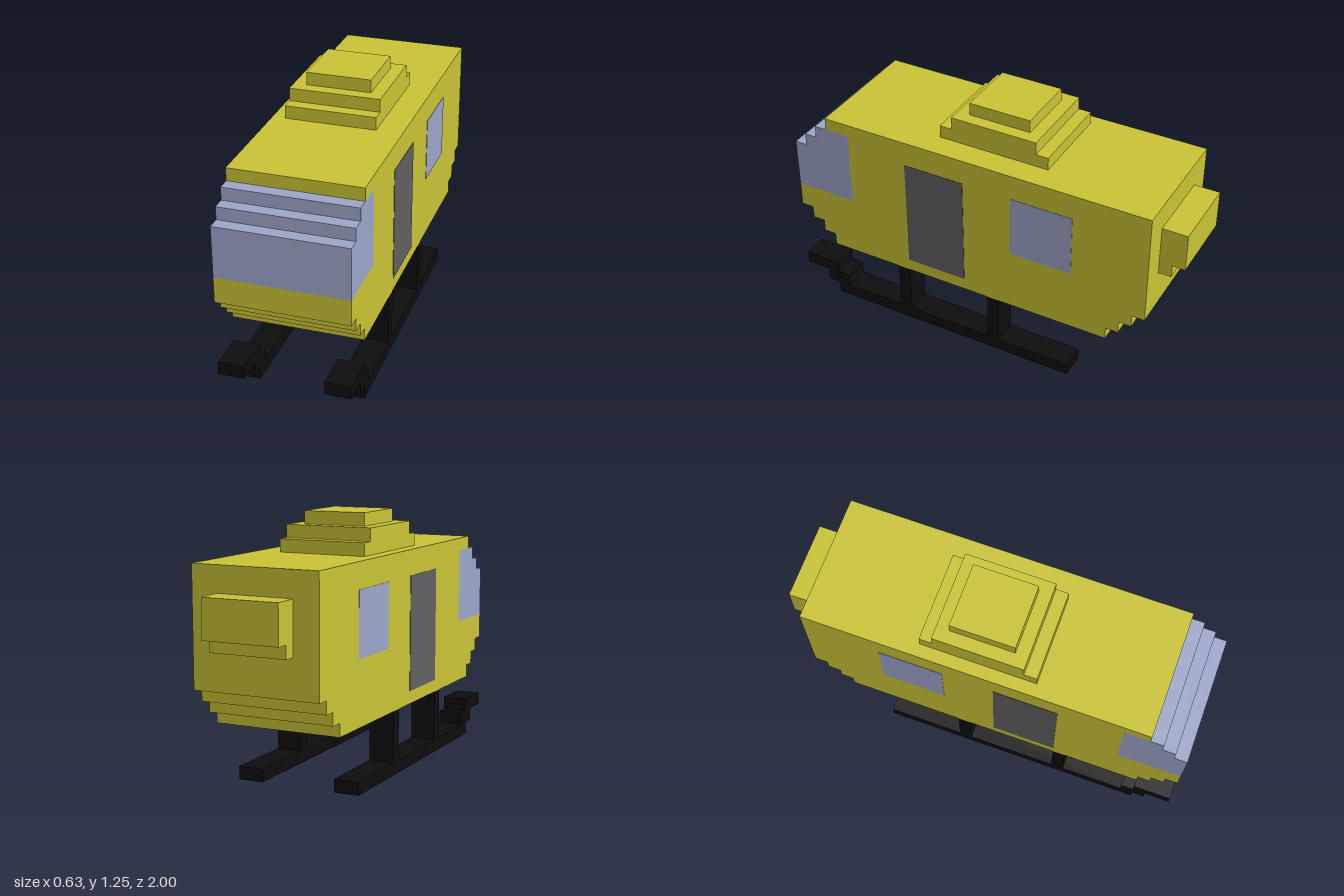
import * as THREE from 'three';

const U = 1 / 16; // block size

const mat = (name, color) => {
  const m = new THREE.MeshStandardMaterial({ color });
  m.name = name;
  return m;
};

export function createModel() {
  const yellow = mat('yellow paint', 0xc9c335);
  const glass = mat('blue glass', 0x9da6ca);
  const grey = mat('door grey', 0x606060);
  const black = mat('skid black', 0x0d0d0d);

  const model = new THREE.Group();
  model.name = 'helicopter';

  // Side profile of [z, y] points in blocks, extruded across x0..x1
  const slab = (name, parent, material, pts, x0, x1) => {
    const shape = new THREE.Shape(pts.map(([z, y]) => new THREE.Vector2(z * U, y * U)));
    const geo = new THREE.ExtrudeGeometry(shape, { depth: (x1 - x0) * U, bevelEnabled: false });
    geo.rotateY(-Math.PI / 2).translate(x1 * U, 0, 0);
    const mesh = new THREE.Mesh(geo, material);
    mesh.name = name;
    parent.add(mesh);
  };

  // Box from min and max corners in blocks
  const box = (name, parent, material, [x0, y0, z0], [x1, y1, z1]) => {
    const geo = new THREE.BoxGeometry((x1 - x0) * U, (y1 - y0) * U, (z1 - z0) * U);
    geo.translate((x0 + x1) / 2 * U, (y0 + y1) / 2 * U, (z0 + z1) / 2 * U);
    const mesh = new THREE.Mesh(geo, material);
    mesh.name = name;
    parent.add(mesh);
  };

  // Cabin with stepped nose and belly, notched for the windscreen
  slab('cabin', model, yellow, [
    [-11, 5], [13, 5], [13, 6], [14, 6], [14, 7], [15, 7], [15, 8], [16, 8], [16, 10],
    [11, 10], [11, 16], [13, 16], [13, 17], [-14, 17],
    [-14, 8], [-13, 8], [-13, 7], [-12, 7], [-12, 6], [-11, 6],
  ], -5, 5);

  // Wraparound stepped windscreen
  slab('windscreen', model, glass, [
    [11, 10], [16, 10], [16, 14], [15, 14], [15, 15], [14, 15], [14, 16], [11, 16],
  ], -5, 5);

  // Tail stub
  slab('tail', model, yellow, [
    [-14, 11], [-14, 15], [-16, 15], [-16, 12], [-15, 12], [-15, 11],
  ], -3, 3);

  // Stepped rotor housing on the roof
  const housing = new THREE.Group();
  housing.name = 'rotorHousing';
  model.add(housing);
  slab('housingBase', housing, yellow, [
    [-5, 17], [4, 17], [4, 18], [3, 18], [3, 19], [-4, 19], [-4, 18], [-5, 18],
  ], -4, 3);
  box('housingCap', housing, yellow, [-3, 19, -3], [2, 20, 2]);

  for (const [label, s] of [['left', 1], ['right', -1]]) {
    // Thin door and window panels
    const a = s > 0 ? 4.97 : -5.03, b = a + 0.06;
    box(label + 'Door', model, grey, [a, 6, 1], [b, 15, 6]);
    box(label + 'Window', model, glass, [a, 10, -8], [b, 15, -3]);

    // Landing skid with upturned toe and two struts
    const skid = new THREE.Group();
    skid.name = label + 'Skid';
    model.add(skid);
    const x0 = s > 0 ? 3 : -5, x1 = x0 + 2;
    slab('runner', skid, black, [
      [-8, 0], [13, 0], [13, 1], [14, 1], [14, 2], [16, 2], [16, 3],
      [13, 3], [13, 2], [12, 2], [12, 1], [-8, 1],
    ], x0, x1);
    box('frontStrut', skid, black, [x0, 1, 6], [x1, 5, 7]);
    box('rearStrut', skid, black, [x0, 1, -2], [x1, 5, -1]);
  }

  return model;
}
